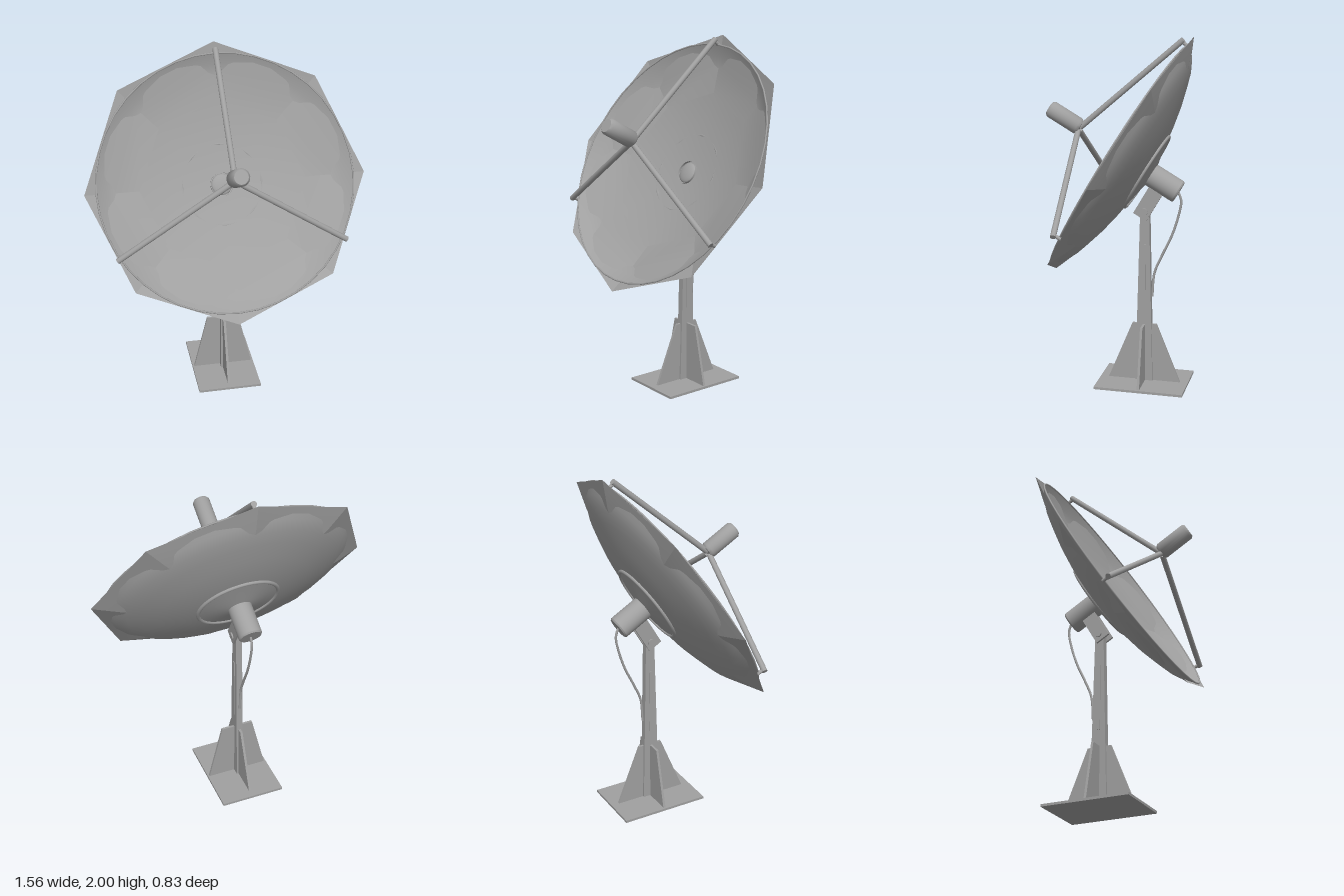
import * as THREE from 'three';
import { toCreasedNormals } from 'three/addons/utils/BufferGeometryUtils.js';

export function createModel() {
  const model = new THREE.Group();
  const grey = new THREE.MeshStandardMaterial({ color: 0xa0a0a0, side: THREE.DoubleSide });
  grey.name = 'paintedMetal';

  const add = (parent, name, geometry, x = 0, y = 0, z = 0) => {
    const mesh = new THREE.Mesh(geometry, grey);
    mesh.name = name;
    mesh.position.set(x, y, z);
    parent.add(mesh);
    return mesh;
  };
  const lathe = (points, sides) =>
    new THREE.LatheGeometry(points.map(([r, y]) => new THREE.Vector2(r, y)), sides);
  // upright tapered plate, centred on its own thickness
  const taperedPlate = (bottom, top, height, depth) => {
    const shape = new THREE.Shape([
      new THREE.Vector2(-bottom, 0), new THREE.Vector2(bottom, 0),
      new THREE.Vector2(top, height), new THREE.Vector2(-top, height)]);
    return new THREE.ExtrudeGeometry(shape, { depth, bevelEnabled: false }).translate(0, 0, -depth / 2);
  };
  // round bar between two points
  const bar = (parent, name, a, b, radius) => {
    const dir = b.clone().sub(a);
    const mesh = add(parent, name, new THREE.CylinderGeometry(radius, radius, dir.length(), 12));
    mesh.position.copy(a).addScaledVector(dir, 0.5);
    mesh.quaternion.setFromUnitVectors(new THREE.Vector3(0, 1, 0), dir.normalize());
    return mesh;
  };

  // Stand: base plate, crossed fins and tapered post
  const stand = new THREE.Group();
  stand.name = 'stand';
  stand.position.z = -0.15;
  model.add(stand);
  add(stand, 'basePlate', new THREE.BoxGeometry(0.37, 0.014, 0.51), 0, 0.007, 0);
  add(stand, 'crossFin', taperedPlate(0.175, 0.093, 0.345, 0.014), 0, 0.01, 0);
  add(stand, 'lengthFin', taperedPlate(0.21, 0.07, 0.345, 0.014), 0, 0.01, 0).rotation.y = Math.PI / 2;
  add(stand, 'post', taperedPlate(0.05, 0.025, 1.035, 0.036), 0, 0.01, 0).rotation.y = Math.PI / 2;
  for (const side of [-1, 1]) {
    add(stand, 'postRib', new THREE.BoxGeometry(0.006, 0.38, 0.018), side * 0.019, 0.64, 0);
  }
  // Hinge
  add(stand, 'hingePin', new THREE.CylinderGeometry(0.02, 0.02, 0.08, 16), 0, 1.02, 0).rotation.z = Math.PI / 2;
  for (const side of [-1, 1]) {
    add(stand, 'hingeBracket', new THREE.BoxGeometry(0.012, 0.2, 0.085), side * 0.026, 1.075, -0.024)
      .rotation.x = -Math.PI / 6;
  }

  // Dish head: local +y is the pointing axis, local -z is up the dish
  const head = new THREE.Group();
  head.name = 'dishHead';
  head.position.set(0, 1.32, -0.02);
  head.rotation.x = Math.PI / 3;
  model.add(head);

  // Eight-sided bowl and the round bowl that crosses it near the rim
  const bowl = [0, 0.15, 0.31, 0.47, 0.63, 0.78].map(r => [r, -0.165 * (1 - (r / 0.78) ** 2)]);
  add(head, 'octagonBowl', toCreasedNormals(lathe(bowl, 8), 0.22));
  add(head, 'roundBowl', lathe([[0, -0.172], [0.15, -0.166], [0.3, -0.146], [0.42, -0.121],
    [0.525, -0.091], [0.6, -0.067], [0.66, -0.036], [0.715, 0.01]], 40));
  add(head, 'rimLip', new THREE.TorusGeometry(0.715, 0.005, 6, 40), 0, 0.01, 0).rotation.x = Math.PI / 2;
  const nub = add(head, 'centreNub', new THREE.SphereGeometry(0.06, 20, 12), 0, -0.162, 0);
  nub.scale.y = 0.3;

  // Rear hub and motor drum
  add(head, 'hubRing', new THREE.TorusGeometry(0.228, 0.011, 8, 40), 0, -0.158, 0).rotation.x = Math.PI / 2;
  add(head, 'hubPlate', lathe([[0.228, -0.158], [0.15, -0.172], [0.06, -0.19]], 40));
  add(head, 'motorDrum', toCreasedNormals(lathe([[0, -0.368], [0.06, -0.368], [0.066, -0.36],
    [0.066, -0.15]], 28), 0.6));

  // Feed horn on three struts
  add(head, 'feedHorn', toCreasedNormals(lathe([[0, 0.285], [0.035, 0.285], [0.048, 0.3],
    [0.048, 0.475], [0.038, 0.488], [0, 0.488]], 24), 0.8), 0, 0, -0.012);
  for (let i = 0; i < 3; i++) {
    const a = i * Math.PI * 2 / 3;
    const at = (r, y) => new THREE.Vector3(Math.sin(a) * r, y, -Math.cos(a) * r);
    bar(head, 'feedStrut', at(0.015, 0.285), at(0.735, 0.04), 0.016);
    bar(head, 'strutFoot', at(0.722, 0.045), at(0.718, 0.0), 0.01);
  }

  // Cable from the drum down to the post
  const cablePath = new THREE.CatmullRomCurve3([[1.15, -0.33], [1.09, -0.352], [1.0, -0.338],
    [0.88, -0.3], [0.76, -0.245], [0.66, -0.205], [0.52, -0.193]]
    .map(([y, z]) => new THREE.Vector3(0, y, z)));
  add(model, 'cable', new THREE.TubeGeometry(cablePath, 36, 0.007, 8));

  return model;
}
